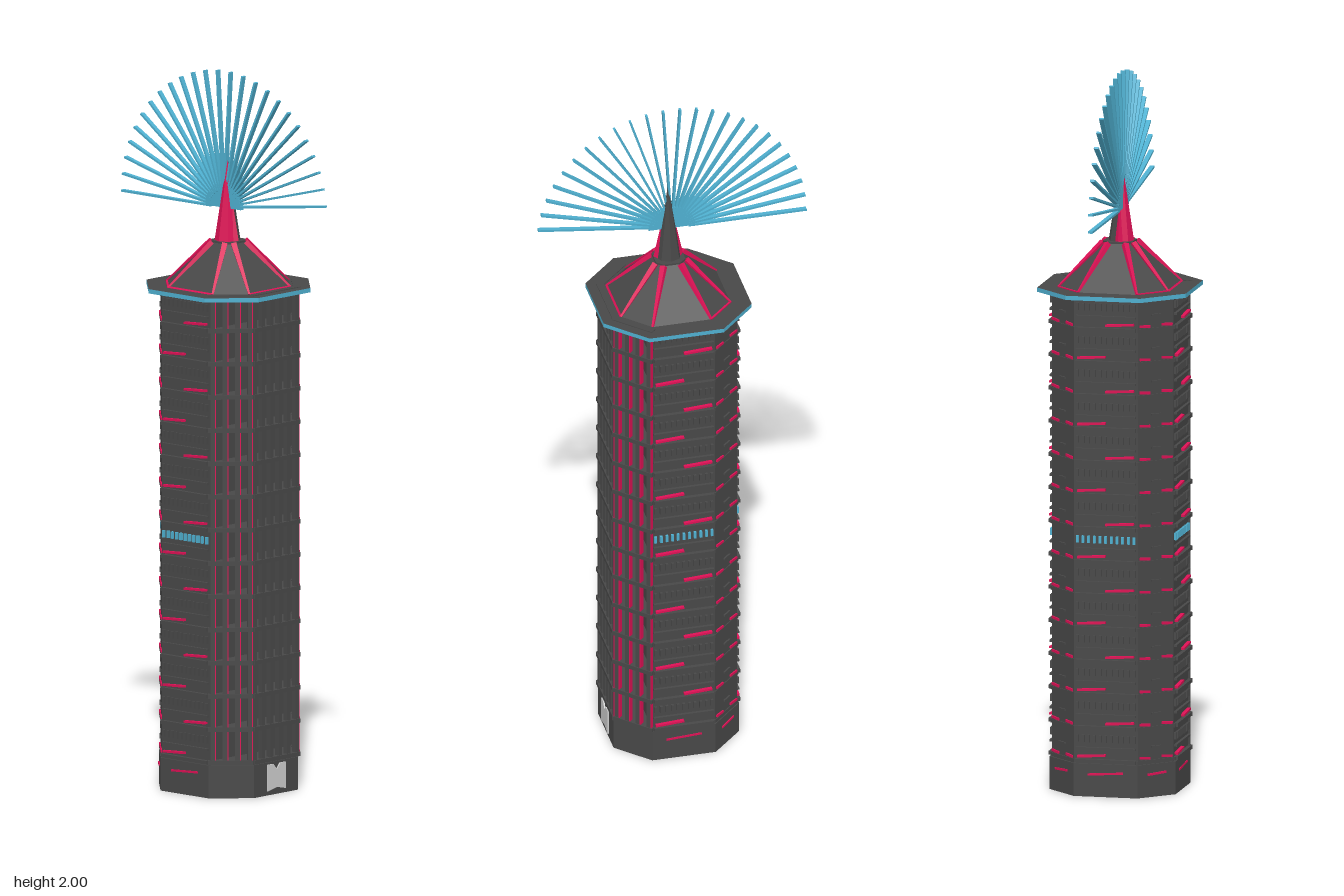
import * as THREE from 'three';

const mat = (name, color, side = THREE.FrontSide) => {
  const m = new THREE.MeshStandardMaterial({ color, side });
  m.name = name;
  m.flatShading = true;
  return m;
};

export function createModel() {
  const root = new THREE.Group();
  root.name = 'tower';
  const dark = mat('charcoal', 0x484848, THREE.DoubleSide);
  const red = mat('crimson', 0xdd1155, THREE.DoubleSide);
  const blue = mat('skyBlue', 0x4fb0d0, THREE.DoubleSide);
  const pale = mat('paleGrey', 0xcccccc, THREE.DoubleSide);
  const CZ = 0.01, FLOORS = 14, STEP = 0.093, Y0 = 0.1, TOP = 1.4;

  const add = (parent, name, geo, material) => {
    const m = new THREE.Mesh(geo, material);
    m.name = name;
    parent.add(m);
    return m;
  };
  const box = (parent, name, material, w, h, d, x, y, z, roll = 0) => {
    const m = add(parent, name, new THREE.BoxGeometry(w, h, d), material);
    m.position.set(x, y, z);
    m.rotation.z = roll;
    return m;
  };
  // Octagon with wide axis sides and shorter diagonal sides, as [x, z]
  const octagon = (a, h) => [[h, a], [a, h], [a, -h], [h, -a], [-h, -a], [-a, -h], [-a, h], [-h, a]];
  const prism = (name, pts, y, height, material) => {
    const shape = new THREE.Shape(pts.map(([x, z]) => new THREE.Vector2(x, -z)));
    const geo = new THREE.ExtrudeGeometry(shape, { depth: height, bevelEnabled: false });
    geo.rotateX(-Math.PI / 2);
    const m = add(root, name, geo, material);
    m.position.set(0, y, CZ);
    return m;
  };
  // Round bar between two points, tapered
  const bar = (name, a, b, ra, rb, material) => {
    const A = new THREE.Vector3(...a), B = new THREE.Vector3(...b);
    const m = add(root, name, new THREE.CylinderGeometry(rb, ra, A.distanceTo(B), 4), material);
    m.position.copy(A).add(B).multiplyScalar(0.5);
    m.quaternion.setFromUnitVectors(new THREE.Vector3(0, 1, 0), B.sub(A).normalize());
  };

  // Base, core wall (open behind the front lattice) and floor slabs
  const plan = octagon(0.172, 0.09);
  prism('base', octagon(0.178, 0.09), 0, 0.092, dark);
  prism('core', plan.slice(1, 7), 0.09, TOP - 0.09, dark);
  for (let k = 0; k <= FLOORS; k++) prism('floorSlab', octagon(0.176, 0.09), Y0 - 0.006 + k * STEP, 0.01, dark);

  // Facade, one group for each of the eight sides
  for (let i = 0; i < 8; i++) {
    const side = new THREE.Group();
    const diagonal = i % 2 === 1;
    const dist = diagonal ? (0.172 + 0.09) / Math.SQRT2 : 0.172;
    side.name = 'facade';
    side.rotation.y = i * Math.PI / 4;
    side.position.set(Math.sin(side.rotation.y) * dist, 0, CZ + Math.cos(side.rotation.y) * dist);
    root.add(side);

    if (i === 0 || i === 1 || i === 7) {
      // Lattice of posts with ledges and crimson side faces
      const n = i === 0 ? 6 : 4;
      for (let p = 0; p < n; p++) {
        const x = (p - (n - 1) / 2) * 0.034;
        box(side, 'post', dark, 0.013, TOP - Y0, 0.014, x, (TOP + Y0) / 2, 0);
        if (i !== 0 || p === n - 1)
          box(side, 'postStripe', red, 0.003, TOP - Y0, 0.014, x + 0.008, (TOP + Y0) / 2, 0);
      }
      for (let k = 0; k <= FLOORS; k++)
        box(side, 'ledge', dark, n * 0.032, 0.012, 0.02, 0, Y0 + k * STEP, 0);
    } else if (!diagonal) {
      // Balconies with fine railing bars
      for (let k = 0; k < FLOORS; k++) {
        const y = Y0 + k * STEP;
        box(side, 'balcony', dark, 0.17, 0.01, 0.022, 0, y, 0);
        box(side, 'balconyRail', dark, 0.17, 0.006, 0.016, 0, y + 0.035, 0);
        box(side, 'balconyStripe', red, 0.08, 0.006, 0.02, k % 2 ? 0.04 : -0.04, y + 0.014, 0, 0.06);
        for (let b = 0; b < 11; b++)
          box(side, 'railingBar', k === 6 ? blue : dark, 0.007, 0.02, 0.014, (b - 5) * 0.016, y + 0.062, 0);
      }
    } else {
      // Plain wall with slanting stripes at each floor
      for (let k = 0; k < FLOORS; k++) {
        const y = Y0 + k * STEP + 0.01;
        for (const s of [-1, 1]) box(side, 'wallStripe', red, 0.034, 0.007, 0.008, s * 0.036, y, 0, -0.08);
        box(side, 'wallNotch', dark, 0.03, 0.005, 0.01, 0, y + 0.03, 0);
      }
    }
    // Extra low stripes
    if (i > 1 && i < 7)
      box(side, 'lowStripe', red, diagonal ? 0.06 : 0.1, 0.006, 0.016, 0, 0.065, 0, 0.06);
  }

  // Entrance panel with notched top and bottom
  const doorShape = new THREE.Shape([[-0.036, 0.012], [0, 0.02], [0.036, 0.012], [0.036, 0.086], [0.014, 0.086],
    [0, 0.07], [-0.014, 0.086], [-0.036, 0.086]].map(p => new THREE.Vector2(...p)));
  add(root, 'door', new THREE.ExtrudeGeometry(doorShape, { depth: 0.004, bevelEnabled: false }), pale)
    .position.z = CZ + 0.178;

  // Overhanging eave with coloured rim
  prism('eave', octagon(0.21, 0.105), 1.394, 0.012, [dark, blue]);

  // Sloping roof made from two octagons
  const low = octagon(0.155, 0.083).map(([x, z]) => [x, 1.406, z + CZ]);
  const high = octagon(0.042, 0.024).map(([x, z]) => [x, 1.525, z + CZ]);
  const verts = [];
  low.forEach((p, i) => {
    const j = (i + 1) % 8;
    verts.push(...p, ...low[j], ...high[j], ...p, ...high[j], ...high[i]);
  });
  const roofGeo = new THREE.BufferGeometry();
  roofGeo.setAttribute('position', new THREE.Float32BufferAttribute(verts, 3));
  roofGeo.computeVertexNormals();
  add(root, 'roof', roofGeo, dark);
  prism('roofCollar', octagon(0.042, 0.024), 1.522, 0.008, dark);

  // Roof ribs along the hips, and trim along some roof feet
  low.forEach((p, i) => {
    bar('roofRib', p, high[i], 0.004, 0.011, red);
    if ([2, 4, 5, 7].includes(i)) bar('roofTrim', p, low[(i + 1) % 8], 0.004, 0.004, red);
  });

  // Spire, crimson on one half
  [[0, dark, 'spireDarkHalf'], [Math.PI, red, 'spireRedHalf']].forEach(([start, material, name]) => {
    const geo = new THREE.ConeGeometry(0.036, 0.235, 4, 1, true, start, Math.PI);
    add(root, name, geo, material).position.set(-0.004, 1.645, CZ);
  });
  for (const s of [-1, 1])
    bar('spireRib', [-0.004, 1.53, CZ + s * 0.032], [-0.004, 1.63, CZ + s * 0.016], 0.01, 0.005, red);

  // Fan of rods over a half-round hub
  const fan = new THREE.Group();
  fan.name = 'fan';
  fan.position.set(-0.006, 1.62, 0);
  root.add(fan);
  const hub = add(fan, 'fanHub', new THREE.CylinderGeometry(0.066, 0.066, 0.012, 24, 1, false, 0, Math.PI), blue);
  hub.rotation.z = Math.PI / 2;
  for (let i = 0; i < 25; i++) {
    const a = i * 7.2 * Math.PI / 180;
    const rod = add(fan, 'fanRod', new THREE.BoxGeometry(0.013, 0.006, 0.335), blue);
    rod.position.set(0, Math.sin(a) * 0.2145, -Math.cos(a) * 0.2145);
    rod.rotation.x = a;
  }
  return root;
}
